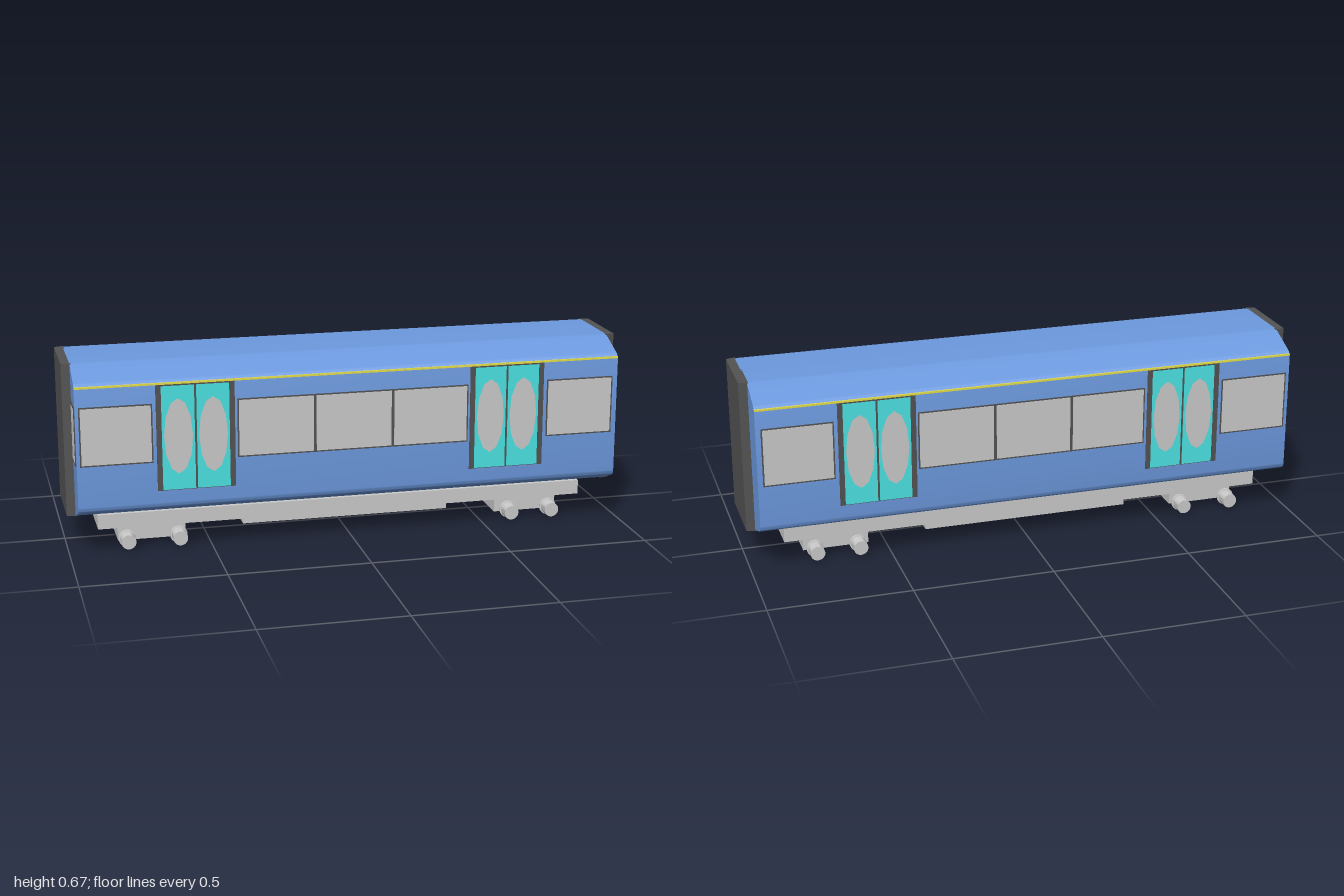
import * as THREE from 'three';
import { toCreasedNormals } from 'three/addons/utils/BufferGeometryUtils.js';

const mat = (color) => new THREE.MeshStandardMaterial({ color });
const grey = mat(0xcccccc);
const blue = mat(0x6c99de);
const teal = mat(0x4ce4e4);
const dark = mat(0x535353);
const yellow = mat(0xe6e04a);

function add(parent, name, geometry, material, x = 0, y = 0, z = 0) {
  const mesh = new THREE.Mesh(geometry, material);
  mesh.name = name;
  mesh.position.set(x, y, z);
  parent.add(mesh);
  return mesh;
}

// Box given by its limits
function block(parent, name, material, [x0, x1], [y0, y1], [z0, z1]) {
  return add(parent, name, new THREE.BoxGeometry(x1 - x0, y1 - y0, z1 - z0), material,
    (x0 + x1) / 2, (y0 + y1) / 2, (z0 + z1) / 2);
}

// Polygon with softened corners; each point is [x, y, cut length]
function softPolygon(points) {
  const shape = new THREE.Shape();
  points.forEach(([x, y, cut], i) => {
    const p = new THREE.Vector2(x, y);
    const toward = (q) => p.clone().add(new THREE.Vector2(q[0] - x, q[1] - y).setLength(cut));
    const a = toward(points.at(i - 1));
    const b = toward(points[(i + 1) % points.length]);
    if (i === 0) shape.moveTo(a.x, a.y);
    else shape.lineTo(a.x, a.y);
    shape.quadraticCurveTo(x, y, b.x, b.y);
  });
  shape.closePath();
  return shape;
}

// Eight-sided car body, extruded along x
function carBody() {
  const half = [[0.13, 0.127, 0.01], [0.254, 0.175, 0.018], [0.254, 0.621, 0.018], [0.13, 0.672, 0.01]];
  const other = half.map(([z, y, c]) => [-z, y, c]).reverse();
  const geometry = new THREE.ExtrudeGeometry(softPolygon([...half, ...other]),
    { depth: 1.94, bevelEnabled: false, curveSegments: 5 });
  geometry.translate(0, 0, -0.97).rotateY(Math.PI / 2);
  return toCreasedNormals(geometry, 0.6);
}

// Dark frame with a grey pane, lying in the xy plane
function windowPanel(parent, x0, x1, y0, y1) {
  const frame = 0.005;
  block(parent, 'windowFrame', dark, [x0, x1], [y0, y1], [-0.004, 0.001]);
  block(parent, 'windowPane', grey, [x0 + frame, x1 - frame], [y0 + frame, y1 - frame], [-0.003, 0.002]);
}

// Pair of door leaves with tall oval windows
function doubleDoor(parent, x) {
  const door = new THREE.Group();
  door.name = 'doubleDoor';
  door.position.x = x;
  parent.add(door);
  block(door, 'doorFrame', dark, [-0.136, 0.136], [0.236, 0.611], [-0.004, 0.0005]);
  for (const s of [-1, 1]) {
    const cx = s * 0.0605;
    block(door, 'doorLeaf', teal, [cx - 0.057, cx + 0.057], [0.238, 0.606], [-0.004, 0.0015]);
    block(door, 'doorPost', dark, [s * 0.127 - 0.009, s * 0.127 + 0.009], [0.236, 0.611], [-0.004, 0.0025]);
    const oval = new THREE.CircleGeometry(1, 12).scale(0.05, 0.134, 1);
    add(door, 'doorWindow', oval, grey, cx, 0.428, 0.0025);
  }
}

// Everything on one long side, built in the xy plane
function sideFittings() {
  const side = new THREE.Group();
  side.name = 'sideFittings';
  const panes = [[-0.958, -0.708], [-0.415, -0.142], [-0.142, 0.137], [0.137, 0.412], [0.704, 0.952]];
  for (const [a, b] of panes) windowPanel(side, a, b, 0.338, 0.547);
  doubleDoor(side, -0.56);
  doubleDoor(side, 0.555);
  block(side, 'stripe', yellow, [-0.97, 0.97], [0.611, 0.618], [-0.012, 0.001]);
  return side;
}

// Block whose face on one axis is narrowed on the other axes
function taper(geometry, axis, sign, scale) {
  const p = geometry.attributes.position;
  const v = new THREE.Vector3();
  for (let i = 0; i < p.count; i++) {
    v.fromBufferAttribute(p, i);
    if (v[axis] * sign > 0) v.multiply(scale);
    p.setXYZ(i, v.x, v.y, v.z);
  }
  geometry.computeVertexNormals();
  return geometry;
}

// Wheel with axle stub, cone, flange and journal cover, running outward along +z
function wheelGeometry() {
  const profile = [[0, 0.09], [0.005, 0.09], [0.005, 0.12], [0.009, 0.122], [0.023, 0.133], [0.031, 0.134],
    [0.031, 0.141], [0.026, 0.142], [0.026, 0.185], [0, 0.185]];
  const geometry = new THREE.LatheGeometry(profile.map(([r, h]) => new THREE.Vector2(r, h)), 24);
  return toCreasedNormals(geometry.rotateX(Math.PI / 2), 0.6);
}

// Sloping mount, frame and four wheels
function bogie(name, x0, x1, mount, axles) {
  const group = new THREE.Group();
  group.name = name;
  block(group, 'bogieFrame', grey, [x0, x1], [0.016, 0.07], [-0.107, 0.107]);
  // Mount narrows downward onto the frame
  const [m0, m1] = mount;
  const geometry = new THREE.BoxGeometry(m1 - m0, 0.014, 0.308);
  const mid = (m0 + m1) / 2;
  taper(geometry, 'y', -1, new THREE.Vector3((x1 - x0) / (m1 - m0), 1, 0.7));
  const p = geometry.attributes.position;
  for (let i = 0; i < p.count; i++) if (p.getY(i) < 0) p.setX(i, p.getX(i) + (x0 + x1) / 2 - mid);
  geometry.computeVertexNormals();
  add(group, 'bogieMount', geometry, grey, mid, 0.071, 0);
  const wheel = wheelGeometry();
  for (const x of axles) {
    add(group, 'wheel', wheel, grey, x, 0.033, 0);
    add(group, 'wheel', wheel, grey, x, 0.033, 0).rotation.y = Math.PI;
  }
  return group;
}

export function createModel() {
  const model = new THREE.Group();
  model.name = 'railCar';
  add(model, 'carBody', carBody(), blue);

  // Long sides: the rear one has its order along x reversed back by building it at mirrored x
  const front = sideFittings();
  front.position.z = 0.2545;
  model.add(front);
  const rear = sideFittings();
  rear.position.z = -0.2545;
  rear.rotation.y = Math.PI;
  for (const part of rear.children) part.position.x *= -1;
  model.add(rear);

  // Gangways at both ends, narrowing outward
  for (const s of [-1, 1]) {
    const geometry = taper(new THREE.BoxGeometry(0.034, 0.545, 0.272), 'x', s, new THREE.Vector3(1, 1, 0.945));
    add(model, 'gangway', geometry, dark, s * 0.983, 0.3995, 0);
  }

  // Windows in the -x end wall, either side of the gangway
  const endWall = new THREE.Group();
  endWall.name = 'endWindows';
  endWall.rotation.y = -Math.PI / 2;
  endWall.position.x = -0.971;
  for (const s of [-1, 1]) {
    const c = s * 0.197;
    block(endWall, 'endWindowFrame', dark, [c - 0.046, c + 0.046], [0.338, 0.547], [-0.004, 0.002]);
    block(endWall, 'endWindowPane', grey, [c - 0.036, c + 0.036], [0.348, 0.537], [-0.003, 0.003]);
  }
  model.add(endWall);

  // Underframe with deeper equipment box in the middle
  block(model, 'underframe', grey, [-0.896, 0.874], [0.078, 0.13], [-0.154, 0.154]);
  block(model, 'equipmentBox', grey, [-0.383, 0.367], [0.06, 0.1], [-0.154, 0.154]);
  model.add(bogie('rightBogie', -0.823, -0.582, [-0.896, -0.383], [-0.793, -0.611]));
  model.add(bogie('leftBogie', 0.566, 0.801, [0.367, 0.874], [0.609, 0.763]));
  return model;
}
